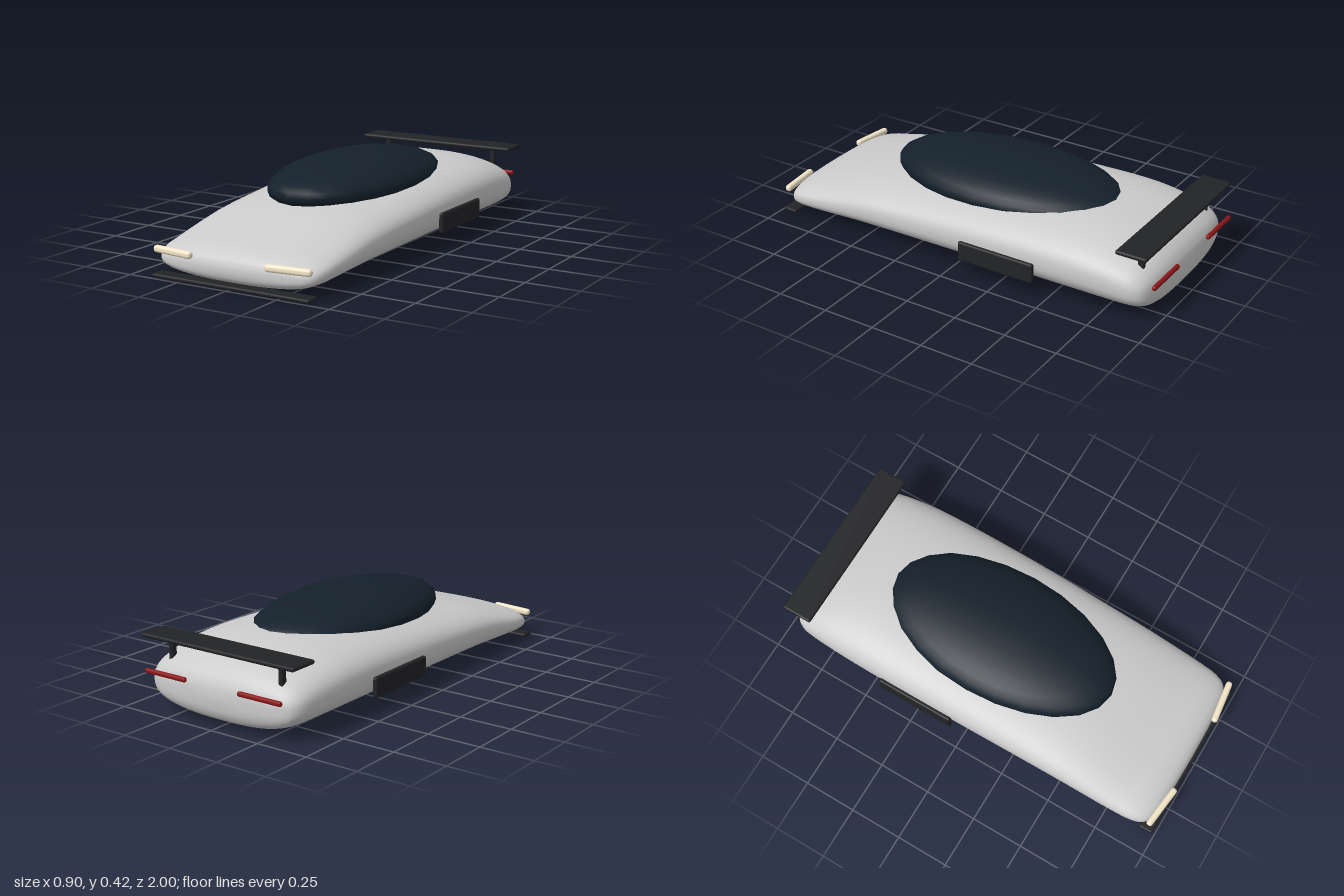
import * as THREE from 'three';
import { RoundedBoxGeometry } from 'three/addons/geometries/RoundedBoxGeometry.js';

const material = (color) => new THREE.MeshStandardMaterial({ color });

// Body cross-sections, nose to tail: z, half width, bottom y, top y
const SECTIONS = [
  [0.977, 0, 0.08, 0.08], [0.972, 0.22, 0.05, 0.105], [0.957, 0.34, 0.03, 0.13],
  [0.93, 0.385, 0.018, 0.15], [0.88, 0.405, 0.014, 0.17], [0.8, 0.413, 0.012, 0.19],
  [0.52, 0.42, 0.01, 0.26], [0.25, 0.425, 0.01, 0.292], [0, 0.43, 0.01, 0.315],
  [-0.3, 0.432, 0.01, 0.333], [-0.6, 0.43, 0.01, 0.335], [-0.75, 0.422, 0.01, 0.318],
  [-0.85, 0.412, 0.012, 0.292], [-0.9, 0.4, 0.017, 0.27], [-0.94, 0.37, 0.03, 0.237],
  [-0.965, 0.28, 0.06, 0.2], [-0.975, 0.13, 0.1, 0.165], [-0.978, 0, 0.135, 0.135],
];

// Loft of superellipse rings through the sections
function bodyGeometry() {
  const around = 64, sub = 3, power = 2 / 2.5;
  const positions = [], index = [];
  const spow = (v) => Math.sign(v) * Math.abs(v) ** power;
  const zw = new THREE.CatmullRomCurve3(SECTIONS.map(([z, w]) => new THREE.Vector3(w, 0, z)), false, 'centripetal');
  const yy = new THREE.CatmullRomCurve3(SECTIONS.map(([z, , b, t]) => new THREE.Vector3(b, t, z)), false, 'centripetal');
  const rings = (SECTIONS.length - 1) * sub;
  for (let i = 0; i <= rings; i++) {
    const a = zw.getPoint(i / rings), b = yy.getPoint(i / rings);
    const mid = (b.x + b.y) / 2, half = (b.y - b.x) / 2;
    for (let j = 0; j < around; j++) {
      const t = (j / around) * Math.PI * 2;
      positions.push(a.x * spow(Math.cos(t)), mid + half * spow(Math.sin(t)), a.z);
    }
  }
  for (let i = 0; i < rings; i++) {
    for (let j = 0; j < around; j++) {
      const k = (j + 1) % around;
      const a = i * around + j, b = i * around + k, c = a + around, d = b + around;
      index.push(a, c, b, b, c, d);
    }
  }
  const g = new THREE.BufferGeometry();
  g.setAttribute('position', new THREE.Float32BufferAttribute(positions, 3));
  g.setIndex(index);
  g.computeVertexNormals();
  // The collapsed end rings face straight along z
  for (let j = 0; j < around; j++) {
    g.attributes.normal.setXYZ(j, 0, 0, 1);
    g.attributes.normal.setXYZ(rings * around + j, 0, 0, -1);
  }
  return g;
}

export function createModel() {
  const model = new THREE.Group();
  const grey = material(0xcccccc);
  const black = material(0x222325);
  const glass = material(0x14202b);
  const cream = material(0xf3e6c8);
  const red = material(0x8c1518);

  const add = (name, geometry, mat, x, y, z) => {
    const mesh = new THREE.Mesh(geometry, mat);
    mesh.name = name;
    mesh.position.set(x, y, z);
    model.add(mesh);
    return mesh;
  };
  const box = (w, h, d, r) => new RoundedBoxGeometry(w, h, d, 2, r);

  add('body', bodyGeometry(), grey, 0, 0, 0);

  // Flattened ellipsoid canopy sunk into the body
  const canopy = new THREE.SphereGeometry(1, 24, 16);
  canopy.scale(0.314, 0.12, 0.583);
  add('canopy', canopy, glass, 0, 0.3, -0.05);

  // Aerodynamic blades
  add('frontSplitter', box(0.79, 0.018, 0.07, 0.008), black, 0, 0.009, 0.953);
  add('rearWing', box(0.83, 0.02, 0.146, 0.009), black, 0, 0.335, -0.897);

  // Mirrored parts
  for (const [side, s] of [['left', 1], ['right', -1]]) {
    add(side + 'WingStrut', box(0.024, 0.11, 0.03, 0.007), black, s * 0.3, 0.275, -0.895);
    add(side + 'SidePanel', box(0.022, 0.094, 0.386, 0.009), black, s * 0.439, 0.122, -0.253);
    const lamp = add(side + 'Headlight', box(0.212, 0.032, 0.03, 0.013), cream, s * 0.29, 0.122, 0.971);
    lamp.rotation.y = s * 0.12;
    add(side + 'TailLight', box(0.23, 0.022, 0.02, 0.009), red, s * 0.257, 0.19, -0.99);
  }
  return model;
}
